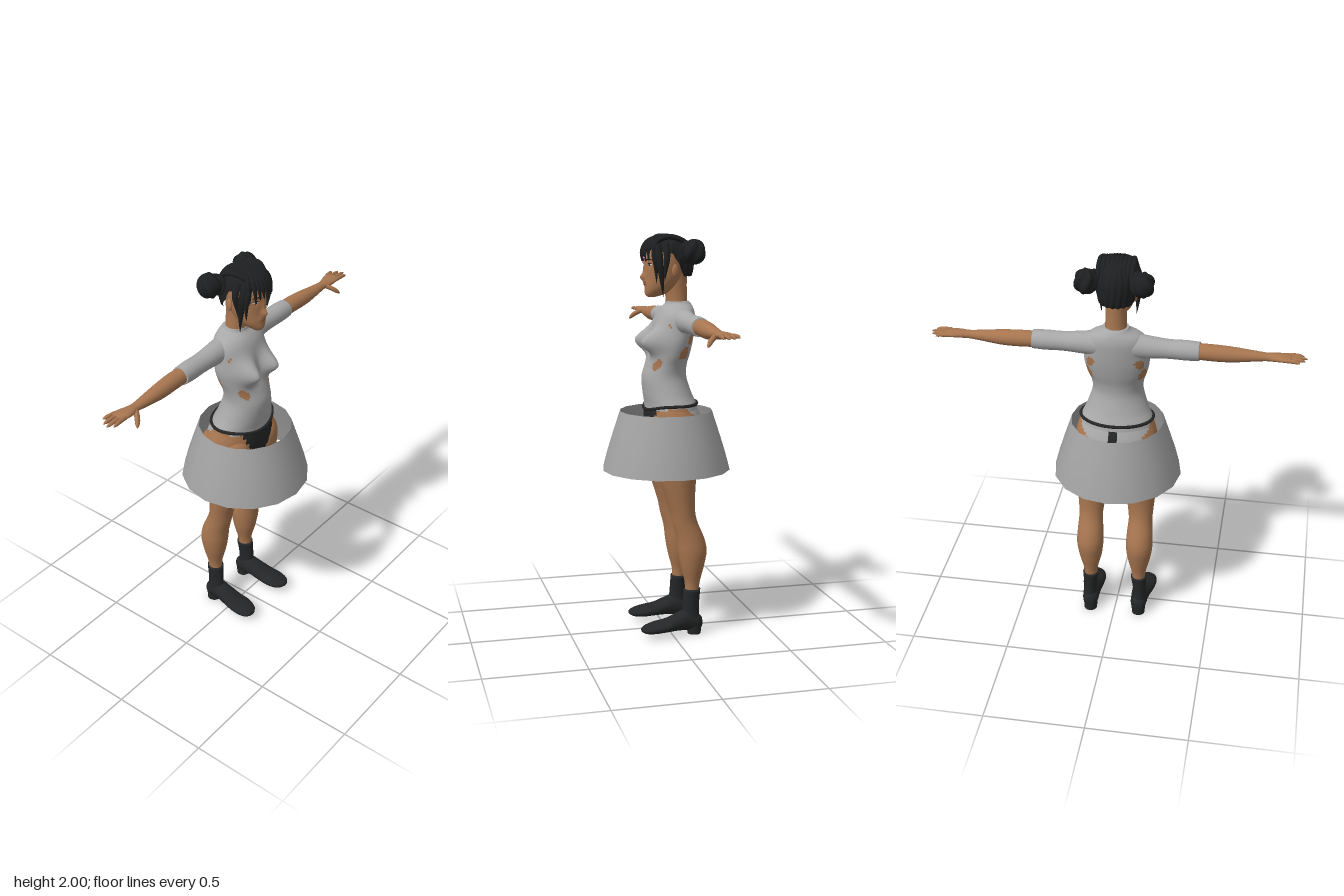
import * as THREE from 'three';

const mat = (name, color, side = THREE.FrontSide) => {
  const m = new THREE.MeshStandardMaterial({ color, side });
  m.name = name;
  return m;
};

// Smooth interpolation through the rows of a cross-section table, t in 0..1
function sample(rows, t) {
  const s = t * (rows.length - 1), i = Math.min(Math.floor(s), rows.length - 2), f = s - i;
  const at = k => rows[Math.max(0, Math.min(rows.length - 1, k))];
  return rows[0].map((_, c) => {
    const [a, b, d, e] = [at(i - 1)[c], at(i)[c], at(i + 1)[c], at(i + 2)[c]];
    return b + 0.5 * f * (d - a + f * (2 * a - 5 * b + 4 * d - e + f * (3 * (b - d) + e - a)));
  });
}

// Closed-around grid surface; pick(point) chooses a material index per cell
function surface(nu, nv, fn, pick) {
  const pos = [], cells = [];
  for (let j = 0; j <= nv; j++) for (let i = 0; i < nu; i++) pos.push(...fn((i / nu) * Math.PI * 2, j / nv));
  for (let j = 0; j < nv; j++) for (let i = 0; i < nu; i++) {
    const a = j * nu + i, b = j * nu + (i + 1) % nu, c = a + nu, d = b + nu;
    const mid = [0, 1, 2].map(k => (pos[a * 3 + k] + pos[d * 3 + k]) / 2);
    cells.push({ m: pick ? pick(...mid) : 0, f: [a, c, b, b, c, d] });
  }
  const g = new THREE.BufferGeometry(), index = [];
  if (pick) cells.sort((p, q) => p.m - q.m);
  cells.forEach(c => index.push(...c.f));
  if (pick) for (let m = 0; m < 3; m++) {
    const first = cells.findIndex(c => c.m === m);
    if (first >= 0) g.addGroup(first * 6, cells.filter(c => c.m === m).length * 6, m);
  }
  g.setAttribute('position', new THREE.Float32BufferAttribute(pos, 3));
  g.setIndex(index);
  g.computeVertexNormals();
  return g;
}

// Loft of ellipses along an axis; row = [position, aMin, aMax, bMin, bMax]
function loft(rows, axis = 'y', nu = 24, nv = 30, mod, pick) {
  return surface(nu, nv + 2, (ang, v) => {
    const k = Math.round(v * (nv + 2)), cap = k === 0 || k === nv + 2 ? 0 : 1;
    const [p, a0, a1, b0, b1] = sample(rows, Math.min(1, Math.max(0, (k - 1) / nv)));
    const a = (a0 + a1) / 2 + cap * (a1 - a0) / 2 * Math.cos(ang);
    const b = (b0 + b1) / 2 + cap * (b1 - b0) / 2 * Math.sin(ang) * (axis === 'y' ? 1 : -1);
    const q = axis === 'y' ? [a, p, b] : axis === 'x' ? [p, a, b] : [a, b, p];
    return mod && cap ? mod(...q) : q;
  }, pick);
}

// Tapering strand along a curve, used for hair locks and fingers
function strand(pts, r, power = 2, flat = 1) {
  const curve = new THREE.CatmullRomCurve3(pts.map(p => new THREE.Vector3(...p)));
  const n = 12, g = new THREE.TubeGeometry(curve, n, r, 8), p = g.attributes.position, v = new THREE.Vector3();
  for (let i = 0; i < p.count; i++) {
    const t = Math.floor(i / 9) / n, c = curve.getPointAt(t);
    v.fromBufferAttribute(p, i).sub(c).multiplyScalar(1 - 0.97 * t ** power);
    p.setXYZ(i, c.x + v.x, c.y + v.y, c.z + v.z * flat);
  }
  g.computeVertexNormals();
  return g;
}

const ball = (x, y, z, rx, ry, rz, turn = 0) =>
  new THREE.SphereGeometry(1, 18, 12).scale(rx, ry, rz).rotateY(turn).translate(x, y, z);
const bump = (d, s) => Math.exp(-((d / s) ** 2));

export function createModel() {
  const root = new THREE.Group();
  const skin = mat('skin', 0xa87650), cloth = mat('grey cloth', 0xa8a8a8), dark = mat('black fabric', 0x252627);
  const hair = mat('black hair', 0x1e1f20, THREE.DoubleSide), lip = mat('lips', 0x875040), white = mat('eye white', 0xc8c0b8);
  const skirtMat = mat('skirt grey', 0xa2a2a2, THREE.DoubleSide);
  const add = (name, g, m) => {
    const mesh = new THREE.Mesh(g, m);
    mesh.name = name;
    root.add(mesh);
  };
  const pair = (name, g, m) => {
    add(name + 'Left', g, m);
    const r = g.clone().scale(-1, 1, 1), ix = r.index.array;
    for (let i = 0; i < ix.length; i += 3) [ix[i], ix[i + 1]] = [ix[i + 1], ix[i]];
    add(name + 'Right', r, m);
  };

  // Shirt body with skin showing at worn patches
  const patches = [[0.137, 1.57, 0.03, 0.028], [0.1, 1.37, 0.075, 0.03], [0.13, 1.42, -0.07, 0.038], [0.125, 1.5, -0.1, 0.03]];
  add('shirt', loft([
    [1.125, -0.186, 0.186, -0.155, 0.105], [1.17, -0.176, 0.176, -0.147, 0.106], [1.22, -0.152, 0.152, -0.125, 0.115],
    [1.3, -0.126, 0.126, -0.1, 0.122], [1.36, -0.128, 0.128, -0.1, 0.105], [1.42, -0.146, 0.146, -0.115, 0.082],
    [1.48, -0.158, 0.158, -0.128, 0.075], [1.54, -0.156, 0.156, -0.136, 0.066], [1.6, -0.15, 0.15, -0.14, 0.05],
    [1.635, -0.125, 0.125, -0.135, 0.03], [1.66, -0.075, 0.075, -0.125, 0.006], [1.675, -0.062, 0.062, -0.112, 0.002],
  ], 'y', 72, 66, (x, y, z) => [x, y, z + 0.08 * bump(Math.abs(x) - 0.075, 0.046) * bump(y - 1.482, 0.058)
    * Math.min(1, Math.max(0, (z + 0.02) / 0.05))], (x, y, z) => {
    if (y < 1.16 && Math.abs(z + 0.02) < 0.05) return 1;
    return patches.some(([px, py, pz, r]) => Math.hypot(Math.abs(x) - px, y - py, z - pz)
      < r * (0.85 + 0.3 * Math.sin(70 * y + 90 * z))) ? 1 : 0;
  }), [cloth, skin]);
  pair('sleeve', loft([
    [0.07, 1.52, 1.645, -0.125, 0.0], [0.15, 1.525, 1.636, -0.118, -0.01], [0.25, 1.532, 1.625, -0.112, -0.016],
    [0.34, 1.53, 1.626, -0.112, -0.016], [0.4, 1.533, 1.622, -0.11, -0.018]], 'x'), cloth);

  // Hips and underwear
  add('hips', loft([
    [0.86, -0.03, 0.03, -0.09, 0.02], [0.92, -0.12, 0.12, -0.15, 0.07], [1.0, -0.2, 0.2, -0.18, 0.095],
    [1.08, -0.202, 0.202, -0.178, 0.108], [1.14, -0.185, 0.185, -0.155, 0.106], [1.165, -0.172, 0.172, -0.14, 0.1]],
  'y', 56, 30, null, (x, y, z) => {
    const w = Math.abs(x);
    if (z > 0) return w < (y - 0.9) * 0.5 ? 2 : 0;
    if (w < 0.02) return 2;
    return z < -0.08 && w < (y - 0.95) * 0.9 ? 1 : 0;
  }), [skin, cloth, dark]);
  const band = [];
  for (let i = 0; i < 32; i++) {
    const a = (i / 32) * Math.PI * 2, f = Math.max(0, Math.sin(a));
    band.push(new THREE.Vector3(0.18 * Math.cos(a), 1.172 - 0.03 * f ** 3, -0.021 + 0.129 * Math.sin(a)));
  }
  add('waistband', new THREE.TubeGeometry(new THREE.CatmullRomCurve3(band, true), 64, 0.008, 6, true), dark);

  // Flared open skirt
  add('skirt', new THREE.LatheGeometry([[0.322, 0.836], [0.3, 0.92], [0.272, 1.01], [0.232, 1.132]]
    .map(p => new THREE.Vector2(...p)), 16), skirtMat);

  // Legs, socks and shoes
  pair('leg', loft([
    [0.2, 0.095, 0.16, -0.135, -0.065], [0.27, 0.09, 0.165, -0.142, -0.065], [0.35, 0.07, 0.185, -0.162, -0.045],
    [0.43, 0.06, 0.197, -0.176, -0.03], [0.5, 0.062, 0.195, -0.162, -0.022], [0.58, 0.068, 0.19, -0.128, -0.002],
    [0.64, 0.062, 0.193, -0.115, 0.01], [0.72, 0.05, 0.2, -0.115, 0.035], [0.83, 0.03, 0.21, -0.125, 0.068],
    [0.95, 0.012, 0.215, -0.152, 0.09], [1.06, 0.015, 0.205, -0.17, 0.1], [1.12, 0.05, 0.17, -0.12, 0.07]], 'y', 28, 44), skin);
  pair('sock', loft([[0.06, 0.092, 0.172, -0.142, -0.045], [0.14, 0.098, 0.166, -0.137, -0.053],
    [0.235, 0.086, 0.169, -0.145, -0.059]], 'y', 24, 10), dark);
  pair('shoe', loft([
    [-0.152, 0.11, 0.15, 0.03, 0.085], [-0.125, 0.09, 0.168, 0.018, 0.11], [-0.075, 0.086, 0.174, 0.02, 0.13],
    [-0.03, 0.084, 0.182, 0.022, 0.115], [0.03, 0.08, 0.194, 0.022, 0.088], [0.09, 0.08, 0.2, 0.02, 0.076],
    [0.14, 0.098, 0.19, 0.024, 0.062], [0.162, 0.128, 0.165, 0.034, 0.05]], 'z', 24, 30), dark);
  pair('heel', new THREE.CylinderGeometry(0.037, 0.034, 0.05, 16).translate(0.129, 0.025, -0.114), dark);

  // Forearms and hands
  pair('forearm', loft([
    [0.36, 1.54, 1.616, -0.104, -0.024], [0.46, 1.536, 1.616, -0.106, -0.024], [0.55, 1.536, 1.61, -0.1, -0.024],
    [0.64, 1.546, 1.6, -0.09, -0.03], [0.71, 1.554, 1.593, -0.083, -0.036], [0.75, 1.556, 1.593, -0.09, -0.028],
    [0.79, 1.562, 1.592, -0.102, -0.024], [0.825, 1.568, 1.588, -0.1, -0.028]], 'x', 20, 30), skin);
  [[-0.094, -0.108, 0.868], [-0.074, -0.08, 0.893], [-0.053, -0.053, 0.902], [-0.034, -0.028, 0.885]].forEach(([z0, z1, x], i) =>
    pair('finger' + (i + 1), strand([[0.8, 1.578, z0], [0.85, 1.578, (z0 + z1) / 2], [x, 1.573, z1]], 0.0098, 7), skin));
  pair('thumb', strand([[0.725, 1.572, -0.042], [0.75, 1.553, -0.012], [0.778, 1.525, 0.012]], 0.0125, 6), skin);

  // Neck and head
  add('neck', loft([[1.62, -0.06, 0.06, -0.11, 0.0], [1.68, -0.052, 0.052, -0.106, 0.0], [1.75, -0.05, 0.05, -0.104, 0.01],
    [1.83, -0.055, 0.055, -0.105, 0.02]], 'y', 24, 12), skin);
  add('head', loft([
    [1.697, -0.022, 0.022, 0.05, 0.095], [1.712, -0.038, 0.038, 0.0, 0.106], [1.74, -0.06, 0.06, -0.045, 0.107],
    [1.78, -0.074, 0.074, -0.075, 0.104], [1.82, -0.081, 0.081, -0.092, 0.105], [1.87, -0.085, 0.085, -0.105, 0.108],
    [1.92, -0.082, 0.082, -0.105, 0.098], [1.96, -0.06, 0.06, -0.08, 0.065],
  ], 'y', 72, 56, (x, y, z) => [x, y, z <= 0 ? z : z + 0.026 * bump(x, 0.013) * bump(y - 1.792, 0.02)
    + 0.01 * bump(x, 0.009) * bump(y - 1.83, 0.025) + 0.006 * bump(x, 0.025) * bump(y - 1.763, 0.014)
    - 0.006 * bump(Math.abs(x) - 0.038, 0.018) * bump(y - 1.853, 0.015)]), skin);
  pair('ear', ball(0.086, 1.825, -0.025, 0.01, 0.032, 0.018, 0.3), skin);

  // Facial features
  pair('eyeWhite', ball(0.038, 1.853, 0.089, 0.016, 0.006, 0.005, 0.42), white);
  pair('iris', ball(0.038, 1.853, 0.0925, 0.0055, 0.0058, 0.003, 0.42), dark);
  pair('eyelash', strand([[0.021, 1.855, 0.097], [0.037, 1.861, 0.094], [0.056, 1.857, 0.084]], 0.0022, 4), hair);
  pair('eyebrow', strand([[0.016, 1.873, 0.106], [0.038, 1.881, 0.099], [0.06, 1.875, 0.08]], 0.0035, 3), hair);
  add('upperLip', ball(0, 1.768, 0.108, 0.021, 0.0045, 0.005), lip);
  add('lowerLip', ball(0, 1.759, 0.108, 0.018, 0.0055, 0.0055), lip);

  // Hair cap, combed into ridges, with a raised hairline in front
  add('hairCap', surface(96, 24, (a, v) => {
    const f = Math.sin(a), low = 0.02 + (f > 0 ? 0.025 * f : -0.11 * Math.min(1, -2 * f));
    const e0 = Math.asin(low / 0.11), e = e0 + (Math.PI / 2 - e0) * v, c = Math.max(0, Math.cos(e));
    const r = c ** (e < 0 ? 0.2 : 0.75) * (1 + 0.025 * Math.sin(20 * a + 5 * v) * (1 - v));
    return [0.1 * r * Math.cos(a), 1.885 + 0.108 * Math.sin(e) + 0.003 * Math.sin(22 * a) * c, -0.012 + 0.126 * r * f];
  }), hair);
  for (let i = -4; i <= 4; i++) {
    const x = i * 0.019, z = 0.122 * Math.sqrt(1 - (x / 0.105) ** 2);
    add('fringe', strand([[x * 0.4, 1.985, 0.03], [x * 0.85, 1.957, z * 0.8], [x * 1.02, 1.915, z],
      [x * 1.08 + 0.008, 1.885 - Math.abs(x) * 0.45 + (i % 2) * 0.008, z]], 0.017, 2.5, 0.7), hair);
    add('crownLock', strand([[x * 0.7, 1.955, 0.075], [x, 1.987, 0.02], [x * 1.05, 1.975, -0.05], [x, 1.91, -0.12]], 0.014, 5), hair);
  }
  pair('longLock', strand([[0.065, 1.95, 0.06], [0.092, 1.88, 0.055], [0.091, 1.79, 0.045], [0.084, 1.7, 0.035]], 0.02, 2), hair);
  pair('shortLock', strand([[0.06, 1.95, 0.075], [0.085, 1.88, 0.075], [0.083, 1.82, 0.07], [0.076, 1.765, 0.066]], 0.016, 2), hair);
  pair('sideLock', strand([[0.075, 1.95, 0.02], [0.1, 1.89, 0.02], [0.094, 1.83, 0.025], [0.09, 1.775, 0.03]], 0.018, 2), hair);

  // Twisted side buns
  pair('bun', surface(40, 24, (a, v) => {
    const e = (v - 0.5) * Math.PI, c = Math.cos(e), r = 1 + 0.09 * Math.sin(5 * a + 9 * v) * c;
    return [0.132 + 0.054 * r * c * Math.cos(a), 1.917 + 0.06 * r * Math.sin(e), -0.105 + 0.056 * r * c * Math.sin(a)];
  }), hair);
  pair('bunWrap', new THREE.TorusGeometry(0.04, 0.016, 8, 24).rotateY(1.1).translate(0.105, 1.915, -0.09), hair);
  return root;
}
